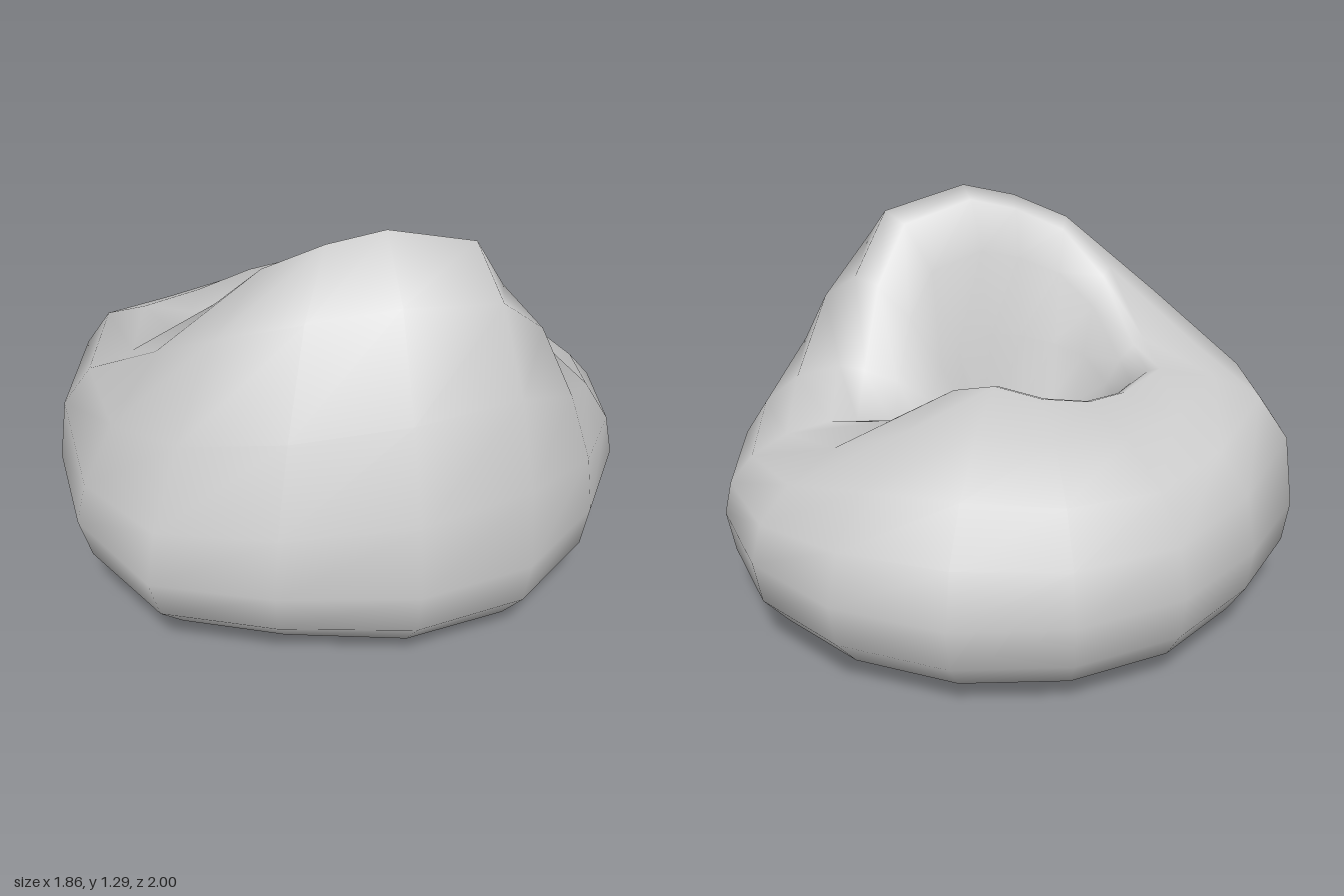
import * as THREE from 'three';

// One station per row around the ring, starting at the back and passing +x:
// outer rim x,z | crest x,y,z | hole edge x,z | fullness of the outer shoulder
const STATIONS = [
  [0, -1, -0.03, 0.81, -0.38, -0.05, -0.13, 0.42],
  [0.35, -0.93, 0.18, 0.68, -0.45, 0.01, -0.135, 0.5],
  [0.65, -0.73, 0.4, 0.64, -0.47, 0.06, -0.11, 0.5],
  [0.85, -0.43, 0.49, 0.76, -0.3, 0.085, -0.06, 0.35],
  [0.93, -0.07, 0.54, 1.02, -0.13, 0.09, 0, 0.2],
  [0.9, 0.3, 0.52, 1.22, 0.03, 0.09, 0.06, 0.25],
  [0.7, 0.61, 0.34, 1.29, 0.25, 0.08, 0.11, 0.1],
  [0.35, 0.85, 0.2, 1.25, 0.36, 0.04, 0.17, 0],
  [0, 1, 0.04, 1.17, 0.46, -0.03, 0.22, 0],
  [-0.39, 0.89, -0.14, 1.01, 0.46, -0.11, 0.24, 0],
  [-0.71, 0.64, -0.31, 0.79, 0.4, -0.19, 0.21, 0.8],
  [-0.92, 0.3, -0.47, 0.78, 0.19, -0.25, 0.14, 1],
  [-0.93, -0.07, -0.44, 0.76, -0.01, -0.28, 0.05, 0.7],
  [-0.86, -0.43, -0.4, 0.78, -0.18, -0.27, -0.01, 0.47],
  [-0.66, -0.73, -0.3, 0.81, -0.3, -0.21, -0.08, 0.42],
  [-0.36, -0.93, -0.16, 0.84, -0.35, -0.13, -0.12, 0.42],
];

const RIM_Y = 0.35;
const HOLE_Y = 0.42;
// [way from crest to rim, height share where lean, height share where full]
const SHOULDER = [[0, 1, 1], [0.4, 0.82, 0.98], [0.72, 0.49, 0.86], [0.93, 0.2, 0.55], [1, 0, 0]];
// [way from rim to hole, height]
const UNDERSIDE = [[0.027, 0.21], [0.12, 0.11], [0.26, 0.04], [0.47, 0], [0.7, 0.06], [0.87, 0.18], [0.97, 0.3], [1, HOLE_Y]];
// [way from hole to crest, height share where low, height share where tall]
const INNER_WALL = [[0.12, 0.32, 0.16], [0.35, 0.62, 0.43], [0.58, 0.83, 0.76], [0.82, 0.96, 0.95]];

// Cross-section of the ring at one station: crest, rim, underside, hole, back to crest
function section([ox, oz, cx, cy, cz, hx, hz, fullness]) {
  const { lerp, smoothstep } = THREE.MathUtils;
  const tall = smoothstep(cy, 0.75, 1.2);
  // The underside is tucked in further towards the front
  const tuck = 1 - 0.2 * smoothstep(oz, 0.4, 1);
  const points = [];
  for (const [f, lean, full] of SHOULDER) {
    points.push([lerp(cx, ox, f), lerp(RIM_Y, cy, lerp(lean, full, fullness)), lerp(cz, oz, f)]);
  }
  for (const [f, y] of UNDERSIDE) {
    const g = f ** tuck;
    points.push([lerp(ox, hx, g), y, lerp(oz, hz, g)]);
  }
  for (const [f, low, high] of INNER_WALL) {
    points.push([lerp(hx, cx, f), lerp(HOLE_Y, cy, lerp(low, high, tall)), lerp(hz, cz, f)]);
  }
  return points;
}

// Skin a closed loop of closed cross-sections
function ringGeometry(sections) {
  const n = sections.length;
  const m = sections[0].length;
  const index = [];
  for (let i = 0; i < n; i++) {
    for (let j = 0; j < m; j++) {
      const a = i * m + j;
      const b = ((i + 1) % n) * m + j;
      const c = ((i + 1) % n) * m + ((j + 1) % m);
      const d = i * m + ((j + 1) % m);
      index.push(a, b, c, a, c, d);
    }
  }
  const geometry = new THREE.BufferGeometry();
  geometry.setAttribute('position', new THREE.Float32BufferAttribute(sections.flat(2), 3));
  geometry.setIndex(index);
  geometry.computeVertexNormals();
  return geometry;
}

export function createModel() {
  const group = new THREE.Group();
  group.name = 'softRingSeat';
  // Soft ring with a raised backrest over its front left-hand side
  const body = new THREE.Mesh(
    ringGeometry(STATIONS.map(section)),
    new THREE.MeshStandardMaterial({ color: 0xcccccc })
  );
  body.name = 'cushionRing';
  group.add(body);
  return group;
}
